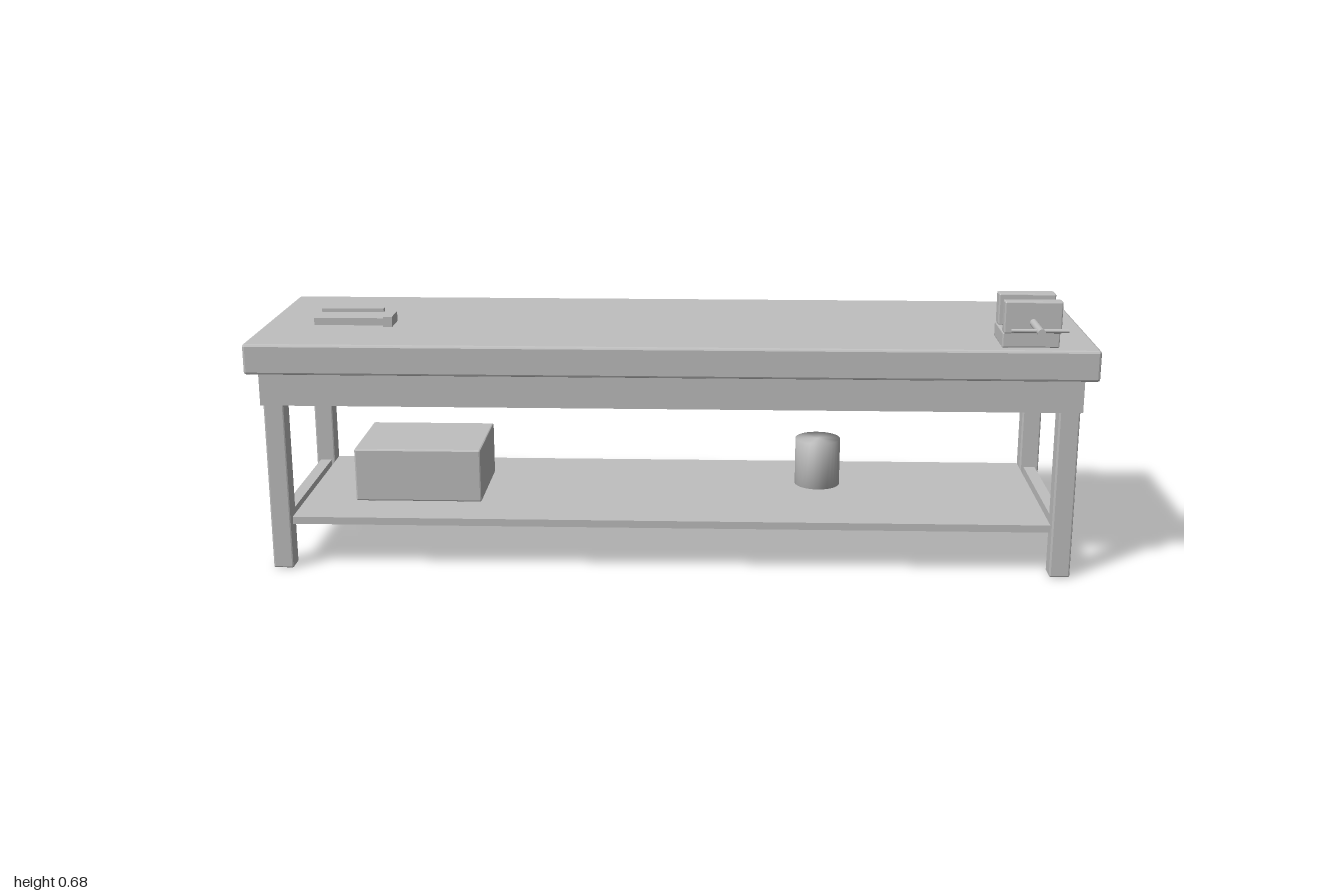
import * as THREE from 'three';
import { mergeVertices } from 'three/addons/utils/BufferGeometryUtils.js';
import { RoundedBoxGeometry } from 'three/addons/geometries/RoundedBoxGeometry.js';

const grey = new THREE.MeshStandardMaterial({ color: 0xbfbfbf });
grey.name = 'plainGrey';

// Box given by its [min, max] on each axis, with optional chamfered edges
function box(parent, name, [x0, x1], [y0, y1], [z0, z1], chamfer = 0) {
  const size = [x1 - x0, y1 - y0, z1 - z0];
  const geometry = chamfer
    ? new RoundedBoxGeometry(...size, 1, chamfer)
    : new THREE.BoxGeometry(...size);
  if (chamfer) geometry.computeVertexNormals(); // flat facets
  const mesh = new THREE.Mesh(geometry, grey);
  mesh.name = name;
  mesh.position.set((x0 + x1) / 2, (y0 + y1) / 2, (z0 + z1) / 2);
  parent.add(mesh);
  return mesh;
}

function rod(parent, name, radius, length, x, y, z, sides = 24) {
  const mesh = new THREE.Mesh(new THREE.CylinderGeometry(radius, radius, length, sides), grey);
  mesh.name = name;
  mesh.position.set(x, y, z);
  parent.add(mesh);
  return mesh;
}

function group(parent, name) {
  const g = new THREE.Group();
  g.name = name;
  parent.add(g);
  return g;
}

export function createModel() {
  const model = new THREE.Group();
  model.name = 'workbench';

  // Bench frame
  box(model, 'tabletop', [-1, 1], [0.489, 0.563], [-0.326, 0.234], 0.006);
  box(model, 'frontApron', [-0.966, 0.966], [0.414, 0.49], [0.212, 0.229]);
  box(model, 'lowerShelf', [-0.912, 0.912], [0.11, 0.128], [-0.296, 0.205]);
  for (const [side, s] of [['left', 1], ['right', -1]]) {
    const span = (a, b) => [Math.min(s * a, s * b), Math.max(s * a, s * b)];
    box(model, side + 'FrontLeg', span(0.914, 0.963), [0, 0.489], [0.167, 0.216], 0.004);
    box(model, side + 'BackLeg', span(0.914, 0.963), [0, 0.489], [-0.308, -0.259], 0.004);
    box(model, side + 'Rail', span(0.924, 0.953), [0.098, 0.129], [-0.26, 0.168]);
  }

  // Things on the shelf
  box(model, 'storageBox', [-0.784, -0.47], [0.128, 0.262], [-0.169, 0.078], 0.004);
  const can = rod(model, 'can', 0.057, 0.12, 0.37, 0.188, -0.108, 32);
  can.geometry.deleteAttribute('normal');
  can.geometry.deleteAttribute('uv');
  can.geometry = mergeVertices(can.geometry); // soft shading over the rims
  can.geometry.computeVertexNormals();

  // Vise
  const vise = group(model, 'vise');
  const width = [0.774, 0.907];
  box(vise, 'viseBase', width, [0.563, 0.599], [0.079, 0.204], 0.003);
  box(vise, 'viseFrontJaw', width, [0.6, 0.675], [0.19, 0.22], 0.003);
  box(vise, 'viseBackJaw', width, [0.6, 0.675], [0.092, 0.129], 0.003);
  rod(vise, 'viseScrew', 0.009, 0.14, 0.841, 0.626, 0.259).rotation.x = Math.PI / 2;
  rod(vise, 'viseHandle', 0.0045, 0.13, 0.841, 0.626, 0.304, 16).rotation.z = Math.PI / 2;

  // Hand tools
  const hammer = group(model, 'hammer');
  box(hammer, 'hammerHandle', [-0.877, -0.7], [0.564, 0.582], [0.007, 0.026]);
  box(hammer, 'hammerHead', [-0.702, -0.68], [0.566, 0.591], [-0.018, 0.05]);
  box(model, 'chisel', [-0.895, -0.737], [0.563, 0.572], [-0.149, -0.131]);

  return model;
}
